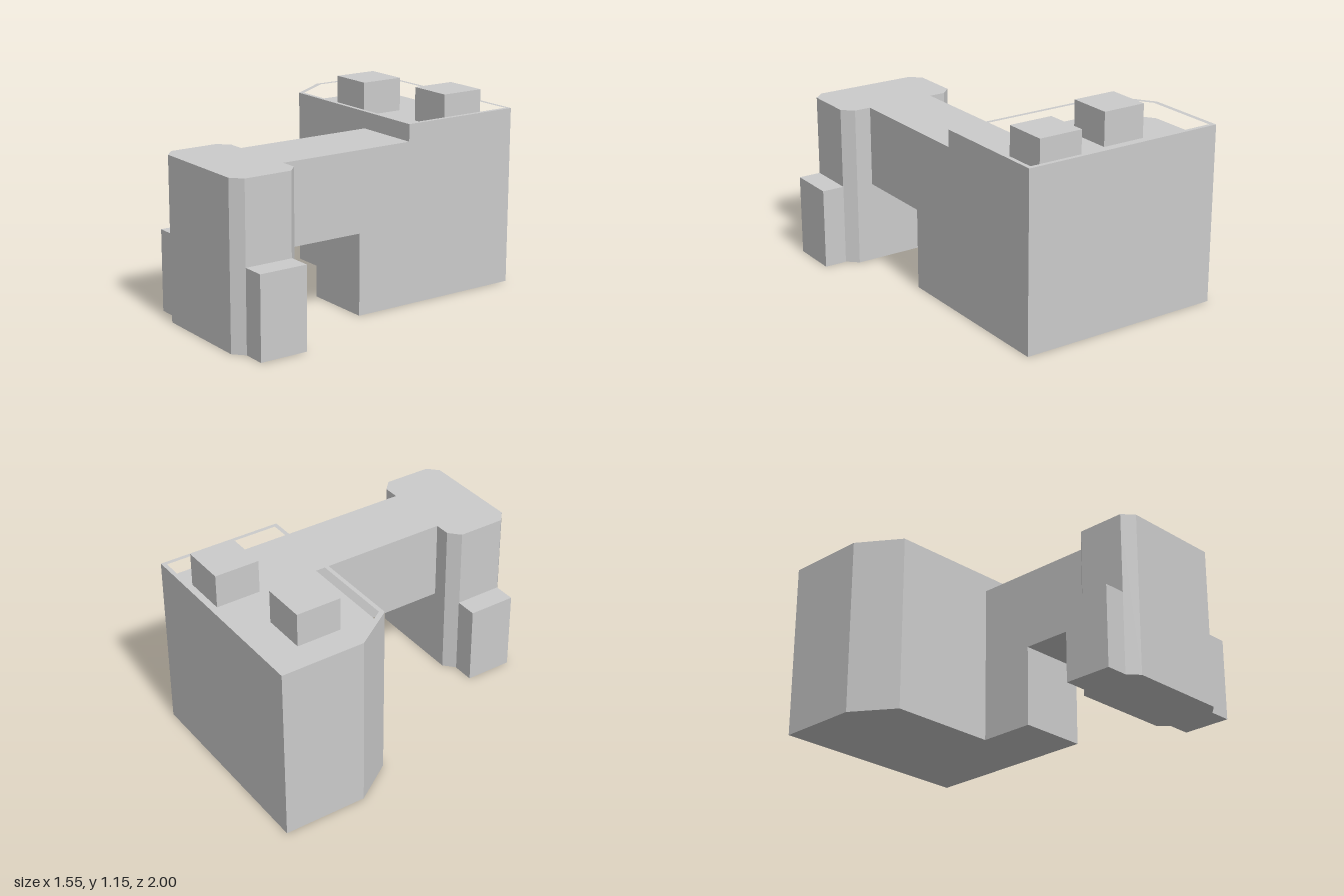
import * as THREE from 'three';

const material = new THREE.MeshStandardMaterial({ color: 0xcccccc, flatShading: true });

function addMesh(group, name, geometry) {
  const mesh = new THREE.Mesh(geometry, material);
  mesh.name = name;
  group.add(mesh);
}

// Box given by its extents on each axis
function box([x0, x1], [y0, y1], [z0, z1]) {
  return new THREE.BoxGeometry(x1 - x0, y1 - y0, z1 - z0)
    .translate((x0 + x1) / 2, (y0 + y1) / 2, (z0 + z1) / 2);
}

// Vertical prism from a plan outline of [x, z] points, with an optional hole
function prism(plan, y0, y1, hole) {
  const toPoints = (list) => list.map(([x, z]) => new THREE.Vector2(x, -z));
  const shape = new THREE.Shape(toPoints(plan));
  if (hole) shape.holes.push(new THREE.Path(toPoints(hole)));
  return new THREE.ExtrudeGeometry(shape, { depth: y1 - y0, bevelEnabled: false })
    .rotateX(-Math.PI / 2).translate(0, y0, 0);
}

export function createModel() {
  const model = new THREE.Group();
  model.name = 'building';
  const roofY = 0.955, parapetY = 1.055, lowY = 0.48;

  // Rear block with one cut corner, and the parapet round its roof
  const outer = [[-0.775, -1], [0.475, -1], [0.475, -0.25], [-0.605, -0.25], [-0.775, -0.5]];
  const inner = [[-0.745, -0.975], [0.45, -0.975], [0.45, -0.275], [-0.587, -0.275], [-0.745, -0.508]];
  addMesh(model, 'rearBlock', prism(outer, 0, roofY));
  addMesh(model, 'parapet', prism(outer, roofY, parapetY, inner));

  // Rooftop housings
  for (const [x, z] of [[-0.49, -0.725], [0.06, -0.89]]) {
    addMesh(model, 'roofHousing', box([x, x + 0.27], [roofY, 1.155], [z, z + 0.27]));
  }

  // Connecting wing: a side profile in z and y with an open passage beneath
  const profile = [[-0.25, 0], [0.09, 0], [0.09, lowY], [0.6, lowY], [0.6, roofY], [-0.25, roofY]];
  const wing = new THREE.ExtrudeGeometry(
    new THREE.Shape(profile.map(([z, y]) => new THREE.Vector2(z, y))),
    { depth: 0.415, bevelEnabled: false });
  addMesh(model, 'connectingWing', wing.rotateY(-Math.PI / 2).translate(0.475, 0, 0));

  // Front tower with four chamfered corners
  addMesh(model, 'frontTower', prism([
    [-0.035, 0.595], [0.575, 0.595], [0.638, 0.655], [0.638, 0.942],
    [0.575, 1], [-0.035, 1], [-0.1, 0.942], [-0.1, 0.655],
  ], 0, roofY));

  // Low annexes on both sides of the tower
  for (const x of [[-0.235, -0.1], [0.638, 0.773]]) {
    addMesh(model, 'sideAnnex', box(x, [0, lowY], [0.652, 0.942]));
  }
  return model;
}
